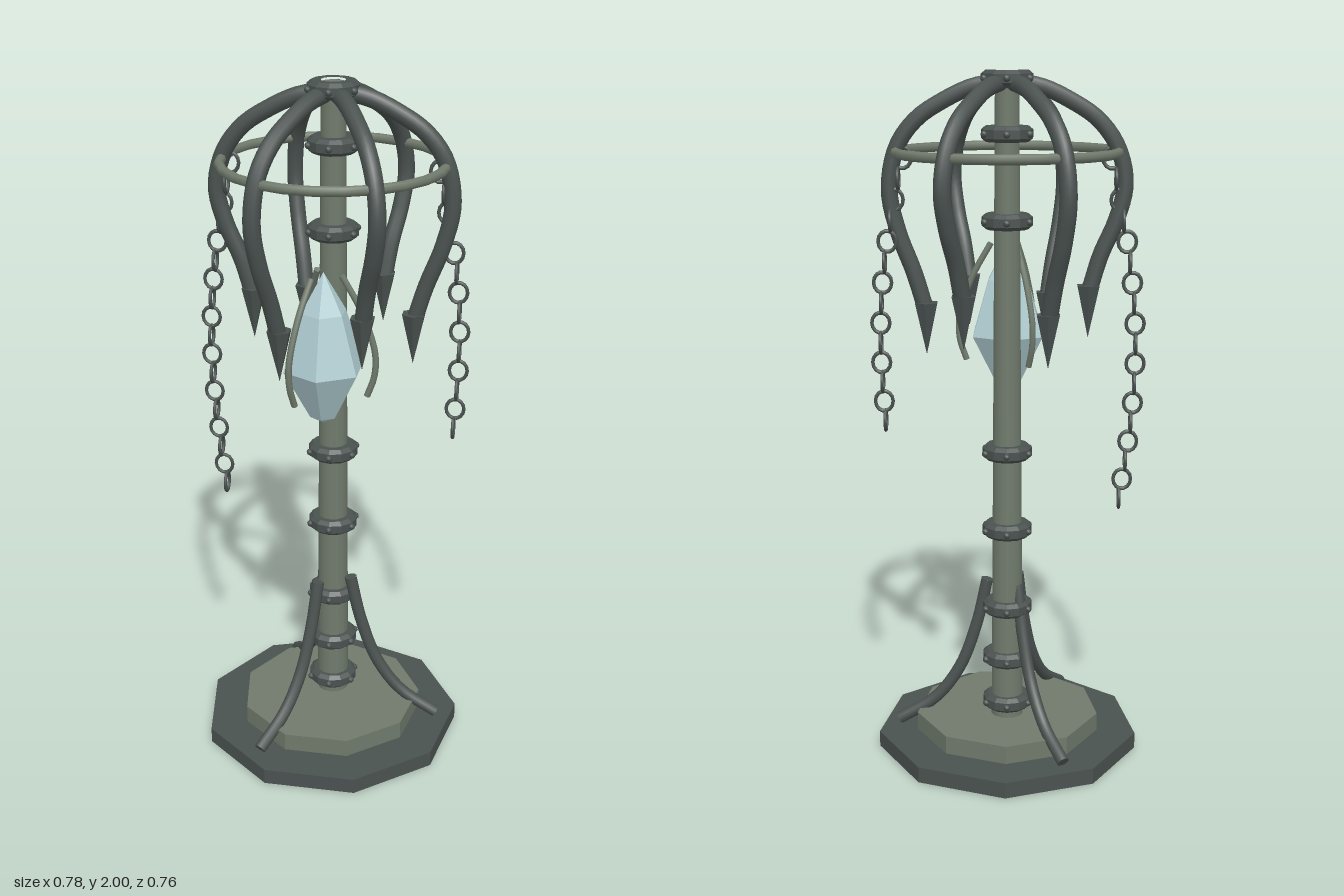
import * as THREE from 'three';
import { mergeGeometries } from 'three/addons/utils/BufferGeometryUtils.js';

const iron = new THREE.MeshStandardMaterial({ color: 0x4a5250 });
iron.name = 'dark iron';
const stone = new THREE.MeshStandardMaterial({ color: 0x707a6c });
stone.name = 'grey green metal';
const glass = new THREE.MeshStandardMaterial({ color: 0xb0cdd2 });
glass.name = 'pale crystal';

const AXIS_Z = -0.025; // post axis
const BASE_Z = 0.011; // base centre

function add(parent, name, geometry, material, x = 0, y = 0, z = 0) {
  const mesh = new THREE.Mesh(geometry, material);
  mesh.name = name;
  mesh.position.set(x, y, z);
  parent.add(mesh);
  return mesh;
}

// flat-faced version of a geometry
function facet(geometry) {
  const g = geometry.index ? geometry.toNonIndexed() : geometry;
  g.computeVertexNormals();
  return g;
}

// capped round rod through [radius, height] points
function rod(points, radius, steps = 20, sides = 10) {
  const curve = new THREE.CatmullRomCurve3(points.map(([r, y]) => new THREE.Vector3(r, y, 0)));
  const parts = [new THREE.TubeGeometry(curve, steps, radius, sides)];
  for (const t of [0, 1]) {
    const dir = curve.getTangent(t).multiplyScalar(t ? 1 : -1);
    const cap = new THREE.CircleGeometry(radius, sides);
    cap.applyQuaternion(new THREE.Quaternion().setFromUnitVectors(new THREE.Vector3(0, 0, 1), dir));
    const p = curve.getPoint(t);
    cap.translate(p.x, p.y, p.z);
    parts.push(cap);
  }
  return mergeGeometries(parts);
}

// copies of a part, evenly turned about a vertical axis
function around(parent, count, z, build) {
  for (let i = 0; i < count; i++) {
    const g = new THREE.Group();
    g.position.z = z;
    g.rotation.y = -(i / count) * Math.PI * 2;
    parent.add(g);
    build(g, i);
  }
}

// bevelled collar with six rivets
function collar(parent, name, y) {
  const g = new THREE.Group();
  g.name = name;
  g.position.set(0, y, AXIS_Z);
  parent.add(g);
  const profile = [[0.034, -0.022], [0.06, -0.022], [0.072, -0.012], [0.072, 0.012], [0.06, 0.022], [0.034, 0.022]]
    .map(([r, h]) => new THREE.Vector2(r, h));
  add(g, 'collarBand', facet(new THREE.LatheGeometry(profile, 12)), iron);
  for (let i = 0; i < 6; i++) {
    const a = (i / 6) * Math.PI * 2;
    add(g, 'rivet', new THREE.SphereGeometry(0.01, 8, 6), iron, Math.sin(a) * 0.072, 0, Math.cos(a) * 0.072);
  }
}

// hanging chain of alternating links
function chain(parent, name, side, count, endX, bulge) {
  const g = new THREE.Group();
  g.name = name;
  parent.add(g);
  const link = new THREE.TorusGeometry(0.0255, 0.005, 6, 14);
  for (let i = 0; i < count; i++) {
    const t = i / (count - 1);
    const s = Math.sin(Math.PI * t);
    const x = 0.29 + (endX - 0.29) * t + bulge * s;
    const m = add(g, 'chainLink', link, iron, side * x, 1.76 - i * 0.0575, -0.03 - 0.02 * s);
    m.scale.y = 1.15;
    if (i % 2) m.rotation.y = Math.PI / 2;
  }
}

export function createModel() {
  const model = new THREE.Group();
  model.name = 'lampPost';

  // nine-sided stepped base
  const lower = add(model, 'baseSlab', facet(new THREE.CylinderGeometry(0.391, 0.391, 0.047, 9)), iron, 0, 0.0235, BASE_Z);
  const upper = add(model, 'baseStep', facet(new THREE.CylinderGeometry(0.275, 0.275, 0.055, 9)), stone, 0, 0.0735, BASE_Z);
  lower.rotation.y = upper.rotation.y = Math.PI;

  // tapered post and collars
  add(model, 'post', new THREE.CylinderGeometry(0.034, 0.048, 1.89, 14), stone, 0, 1.045, AXIS_Z);
  [0.145, 0.285, 0.445, 0.685, 0.92, 1.585, 1.825].forEach((y) => collar(model, 'collar', y));
  collar(model, 'topHub', 1.974);

  // three curved braces on the base
  const brace = rod([[0.06, 0.515], [0.093, 0.37], [0.145, 0.23], [0.22, 0.13], [0.33, 0.06]], 0.018);
  around(model, 3, BASE_Z, (g) => add(g, 'brace', brace, iron));

  // six drooping arms with spear points, alternating in length
  const spear = facet(new THREE.ConeGeometry(0.036, 0.15, 6));
  around(model, 6, AXIS_Z, (g, i) => {
    const d = i % 2 ? 0 : 0.05;
    const arm = rod([[0.03, 1.965], [0.1, 1.95], [0.175, 1.915], [0.25, 1.865], [0.305, 1.79],
      [0.328, 1.69 - d * 0.4], [0.305, 1.59 - d * 0.7], [0.262, 1.49 - d], [0.232, 1.39 - d]], 0.024, 32, 10);
    add(g, 'arm', arm, iron);
    const tip = add(g, 'spearPoint', spear, iron, 0.229, 1.33 - d, 0);
    tip.rotation.x = Math.PI;
  });

  // hoop tying the arms
  const hoop = add(model, 'hoop', new THREE.TorusGeometry(0.31, 0.014, 8, 24), stone, 0, 1.775, AXIS_Z);
  hoop.rotation.x = Math.PI / 2;

  // six-sided crystal
  const cut = [[0, 1.07], [0.04, 1.093], [0.117, 1.237], [0.065, 1.4], [0, 1.512]].map(([r, y]) => new THREE.Vector2(r, y));
  add(model, 'crystal', facet(new THREE.LatheGeometry(cut, 6)), glass, 0, 0, 0.127);

  // three thin claws holding the crystal
  const claw = rod([[0.05, 1.505], [0.105, 1.405], [0.143, 1.29], [0.142, 1.22], [0.122, 1.16]], 0.009, 16, 8);
  around(model, 3, 0.127, (g) => add(g, 'crystalClaw', claw, stone));

  // hanging chains
  chain(model, 'rightChain', -1, 18, 0.325, 0.055);
  chain(model, 'leftChain', 1, 14, 0.35, 0.032);

  return model;
}
